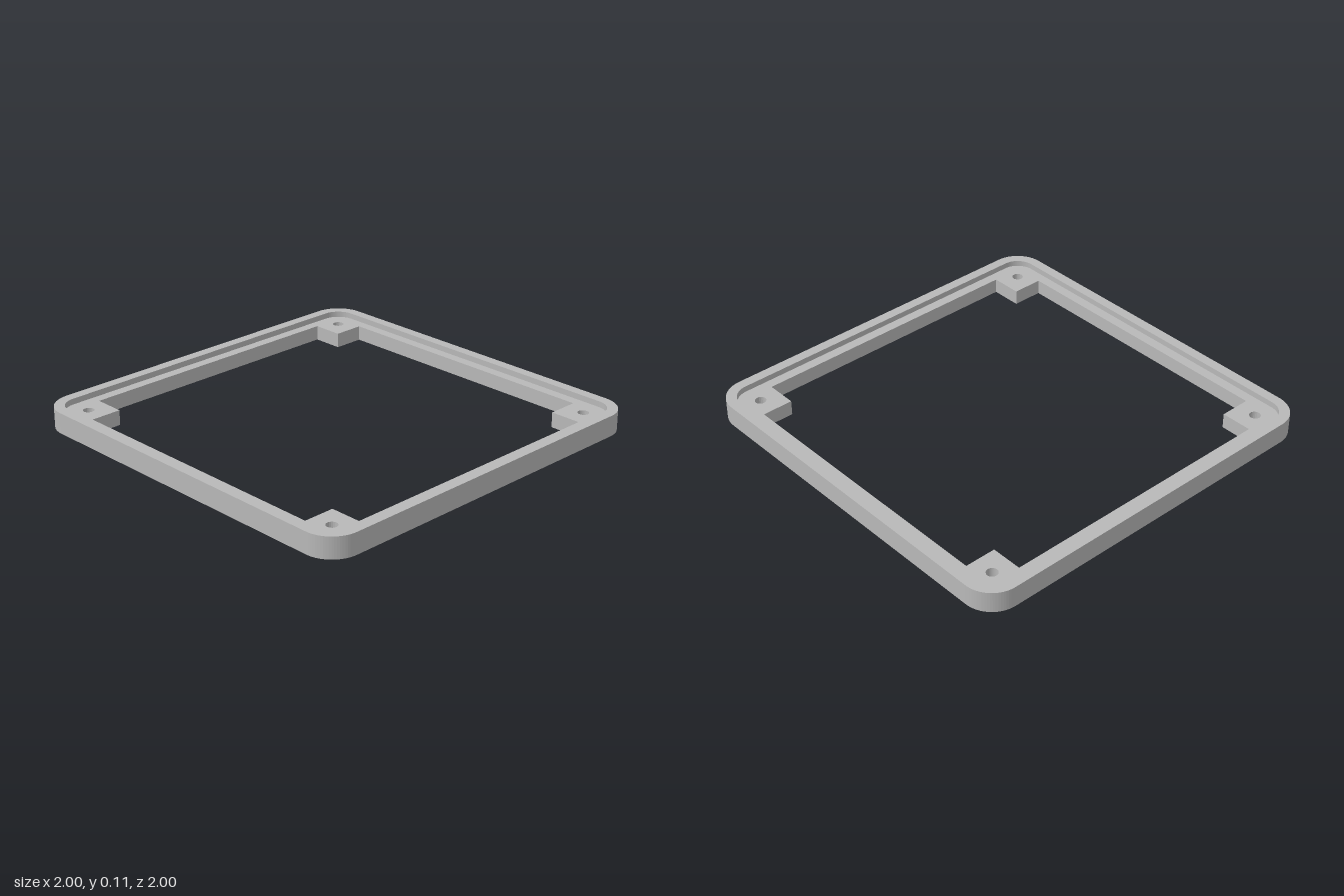
import * as THREE from 'three';

const HEIGHT = 0.107; // full height of the rim
const LEDGE = 0.077;  // height of the recessed ledge
const OPENING = 0.895, BLOCK = 0.735;

// Square with rounded corners, centred on the origin
function roundedSquare(half, r, Type) {
  const p = new Type();
  const c = half - r;
  p.moveTo(-c, -half);
  p.lineTo(c, -half);
  p.absarc(c, -c, r, -Math.PI / 2, 0);
  p.lineTo(half, c);
  p.absarc(c, c, r, 0, Math.PI / 2);
  p.lineTo(-c, half);
  p.absarc(-c, c, r, Math.PI / 2, Math.PI);
  p.lineTo(-half, -c);
  p.absarc(-c, -c, r, Math.PI, Math.PI * 1.5);
  return p;
}

// Extrude a plan outline upwards from y = 0
function slab(shape, height) {
  const geo = new THREE.ExtrudeGeometry(shape, { depth: height, bevelEnabled: false, curveSegments: 10 });
  return geo.rotateX(-Math.PI / 2);
}

export function createModel() {
  const group = new THREE.Group();
  group.name = 'squareFrame';
  const grey = new THREE.MeshStandardMaterial({ color: 0xb8b8b8 });
  grey.name = 'grey';

  // Raised outer rim
  const rimShape = roundedSquare(1, 0.15, THREE.Shape);
  rimShape.holes.push(roundedSquare(0.947, 0.097, THREE.Path));
  const rim = new THREE.Mesh(slab(rimShape, HEIGHT), grey);
  rim.name = 'outerRim';

  // Lower ledge whose opening steps around a square block in each corner
  const ledgeShape = roundedSquare(0.947, 0.097, THREE.Shape);
  const opening = [];
  for (const [sx, sy] of [[1, 1], [-1, 1], [-1, -1], [1, -1]]) {
    const steps = [[OPENING, BLOCK], [BLOCK, BLOCK], [BLOCK, OPENING]];
    if (sx * sy < 0) steps.reverse();
    for (const [x, y] of steps) opening.push(new THREE.Vector2(sx * x, sy * y));
    // Screw hole through the block
    const hole = new THREE.Path();
    hole.absarc(sx * 0.84, sy * 0.84, 0.028, 0, Math.PI * 2);
    ledgeShape.holes.push(hole);
  }
  ledgeShape.holes.push(new THREE.Path(opening));
  const ledge = new THREE.Mesh(slab(ledgeShape, LEDGE), grey);
  ledge.name = 'ledgeWithCornerBlocks';

  group.add(rim, ledge);
  return group;
}
